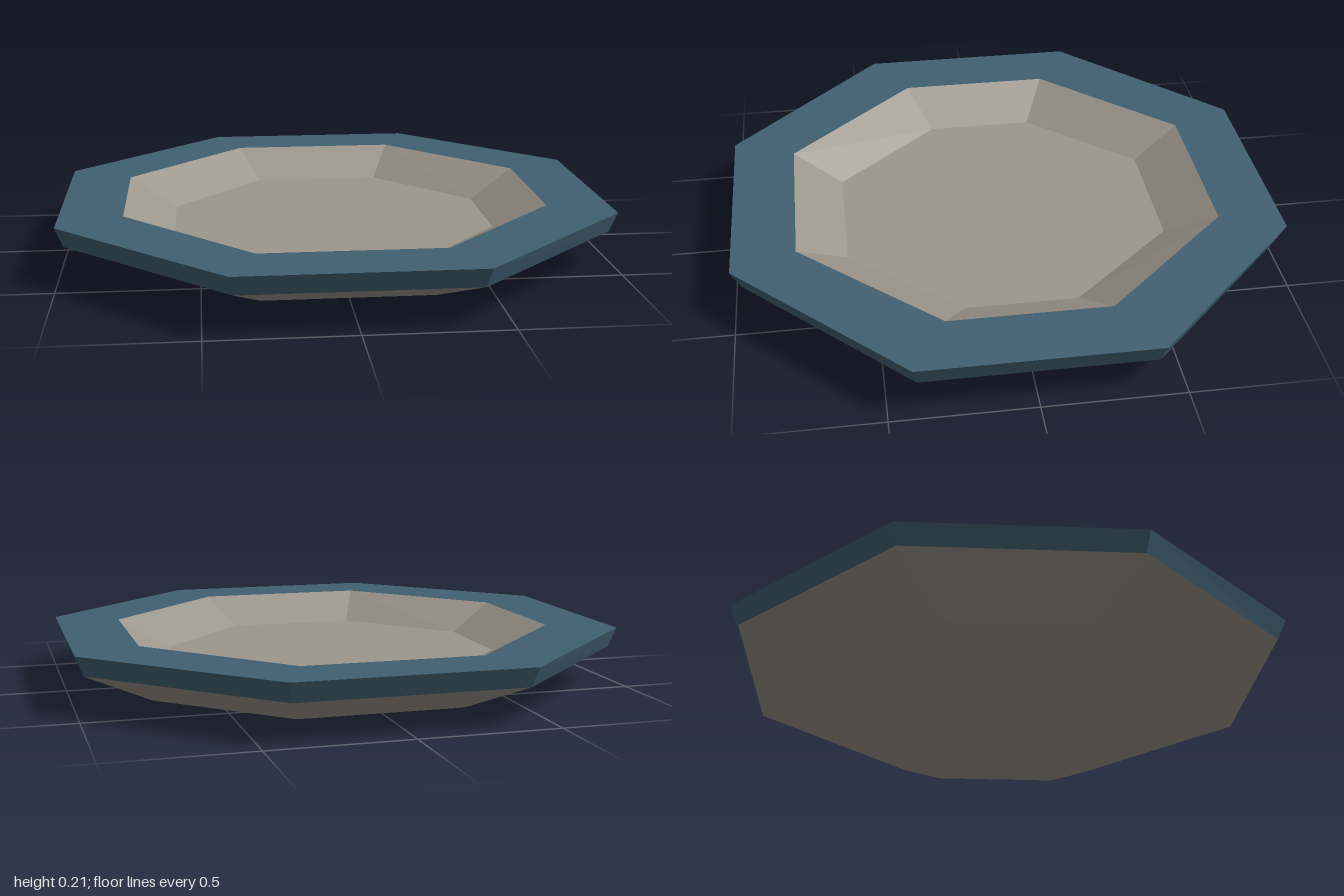
import * as THREE from 'three';

// Eight-sided ring: corners (±a, ±b) on the sides and (±c, ±d) front and back
function ring(y, a, b, c, d) {
  return [[a, b], [c, d], [-c, d], [-a, b], [-a, -b], [-c, -d], [c, -d], [a, -b]]
    .map(([x, z]) => new THREE.Vector3(x, y, z));
}

// Flat-faced skin through successive rings; a single point closes an end
function loft(rings) {
  const points = [];
  for (let r = 0; r < rings.length - 1; r++) {
    const lower = rings[r], upper = rings[r + 1];
    for (let i = 0; i < 8; i++) {
      const j = (i + 1) % 8;
      if (upper.length > 1) points.push(lower[i % lower.length], upper[i], upper[j]);
      if (lower.length > 1) points.push(lower[i], upper[j % upper.length], lower[j]);
    }
  }
  const geometry = new THREE.BufferGeometry().setFromPoints(points);
  geometry.computeVertexNormals();
  return geometry;
}

export function createModel() {
  const stone = new THREE.MeshStandardMaterial({ color: 0x9c968c, flatShading: true });
  stone.name = 'warm grey';
  const teal = new THREE.MeshStandardMaterial({ color: 0x416072, flatShading: true });
  teal.name = 'slate teal';

  const floorY = 0.105, lipY = 0.135, topY = 0.207;
  const foot = ring(0, 0.72, 0.24, 0.3, 0.645);
  const lip = ring(lipY, 0.973, 0.4, 0.4, 0.968);
  const outerTop = ring(topY, 1, 0.413, 0.413, 1);
  const innerTop = ring(topY, 0.77, 0.285, 0.32, 0.77);
  const floor = ring(floorY, 0.59, 0.2, 0.245, 0.59);

  const group = new THREE.Group();
  group.name = 'octagonalDish';
  const add = (name, rings, material) => {
    const mesh = new THREE.Mesh(loft(rings), material);
    mesh.name = name;
    group.add(mesh);
  };

  // Underside with its flat foot, coloured rim, and the sunken basin
  add('underside', [[new THREE.Vector3(0, 0, 0)], foot, lip], stone);
  add('rim', [lip, outerTop, innerTop], teal);
  add('basin', [innerTop, floor, [new THREE.Vector3(0, floorY, 0)]], stone);
  return group;
}
